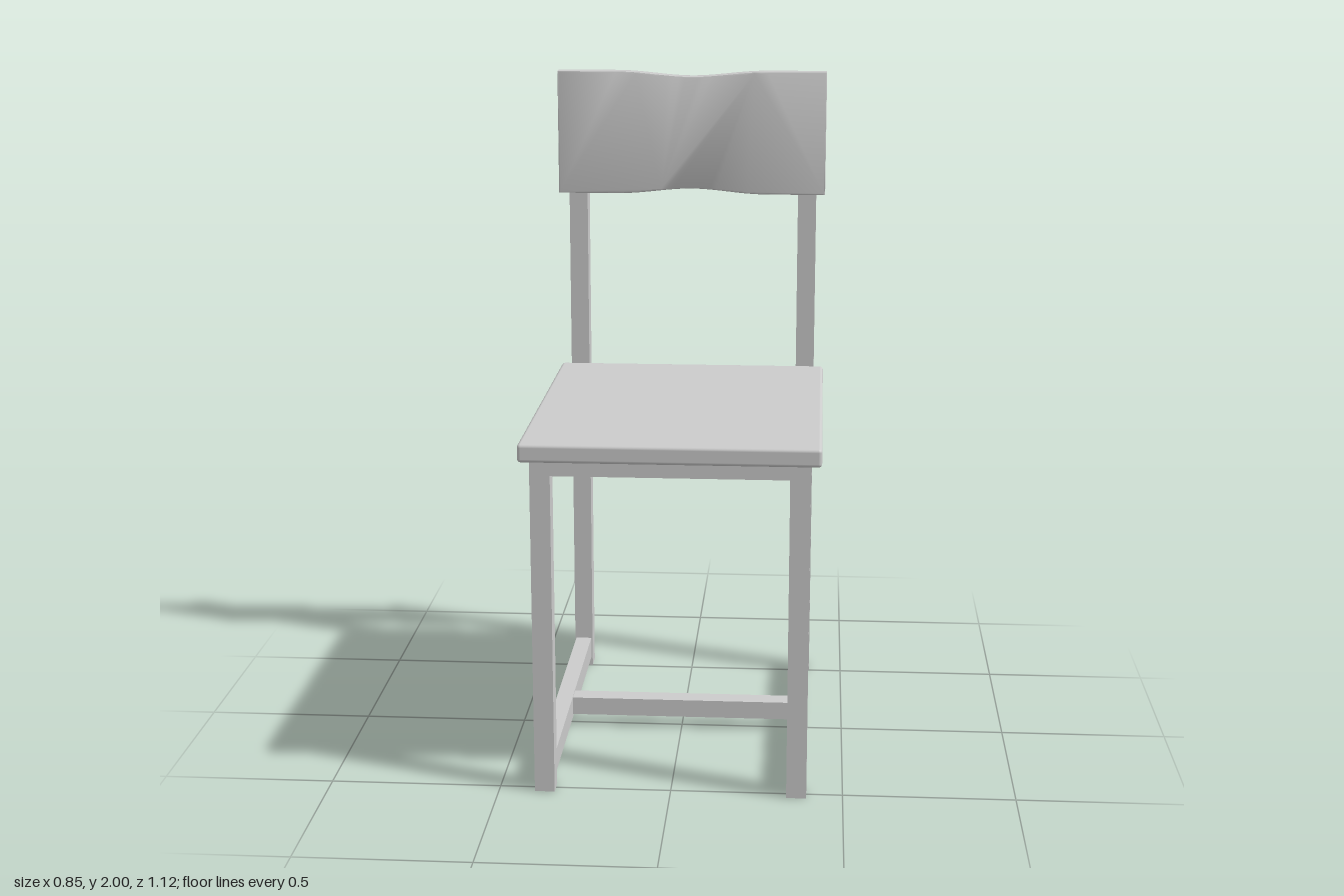
import * as THREE from 'three';
import { RoundedBoxGeometry } from 'three/addons/geometries/RoundedBoxGeometry.js';
import { toCreasedNormals } from 'three/addons/utils/BufferGeometryUtils.js';

export function createModel() {
  const chair = new THREE.Group();
  chair.name = 'chair';
  const material = new THREE.MeshStandardMaterial({ color: 0xcccccc });

  const add = (name, geometry, x = 0, y = 0, z = 0) => {
    const mesh = new THREE.Mesh(geometry, material);
    mesh.name = name;
    mesh.position.set(x, y, z);
    chair.add(mesh);
  };
  // Box given by its lower and upper corners
  const bar = (name, [x0, y0, z0], [x1, y1, z1]) =>
    add(name, new THREE.BoxGeometry(x1 - x0, y1 - y0, z1 - z0),
      (x0 + x1) / 2, (y0 + y1) / 2, (z0 + z1) / 2);

  // Legs and low side stretchers, mirrored left and right
  for (const [side, s] of [['left', 1], ['right', -1]]) {
    const [a, b] = s > 0 ? [0.337, 0.395] : [-0.395, -0.337];
    bar(side + 'FrontLeg', [a, 0, 0.47], [b, 1, 0.53]);
    bar(side + 'BackLeg', [a, 0, -0.563], [b, 1.86, -0.5]);
    bar(side + 'SideStretcher', [a + 0.004, 0.03, -0.5], [b - 0.004, 0.097, 0.47]);
  }

  // Stretcher joining the two sides at mid depth
  bar('crossStretcher', [-0.341, 0.038, -0.03], [0.341, 0.093, 0.03]);

  // Support frame closed beneath the seat, set between the legs
  bar('seatFrame', [-0.337, 0.955, -0.563], [0.337, 1, 0.53]);
  for (const s of [1, -1]) {
    const [a, b] = s > 0 ? [0.337, 0.395] : [-0.395, -0.337];
    bar('sideRail', [a, 0.955, -0.5], [b, 1, 0.47]);
  }

  // Seat board with softened edges
  add('seat', new RoundedBoxGeometry(0.85, 0.053, 1.055, 3, 0.01), 0, 1.0265, 0.0335);

  // Backrest board, narrowing gently towards its middle
  const shape = new THREE.Shape();
  shape.moveTo(-0.423, 1.615);
  shape.lineTo(-0.24, 1.615);
  shape.bezierCurveTo(-0.15, 1.615, -0.08, 1.632, 0, 1.632);
  shape.bezierCurveTo(0.08, 1.632, 0.15, 1.615, 0.24, 1.615);
  shape.lineTo(0.423, 1.615);
  shape.lineTo(0.423, 2);
  shape.lineTo(0.24, 2);
  shape.bezierCurveTo(0.15, 2, 0.08, 1.984, 0, 1.984);
  shape.bezierCurveTo(-0.08, 1.984, -0.15, 2, -0.24, 2);
  shape.lineTo(-0.423, 2);
  shape.closePath();
  const bevel = 0.005;
  const back = new THREE.ExtrudeGeometry(shape, {
    depth: 0.053 - 2 * bevel, curveSegments: 12,
    bevelThickness: bevel, bevelSize: bevel, bevelOffset: -bevel, bevelSegments: 2,
  });
  add('backrest', toCreasedNormals(back, 0.6), 0, 0, -0.503 + bevel);

  return chair;
}
